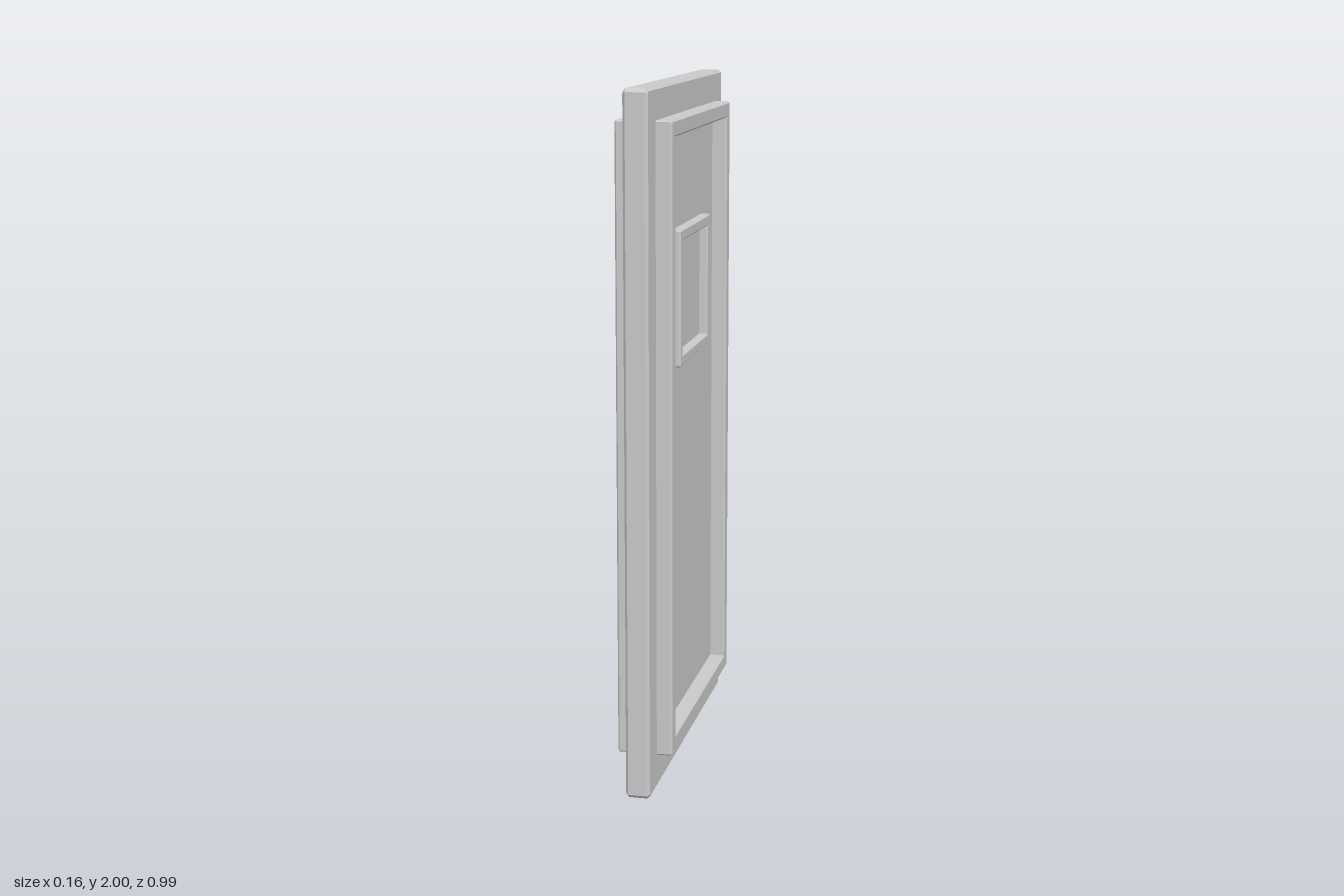
import * as THREE from 'three';

const material = new THREE.MeshStandardMaterial({ color: 0xcccccc, flatShading: true });

// Rectangle with clipped corners, centred on x = 0
function outline(target, halfWidth, bottom, top, c) {
  const w = halfWidth;
  target.setFromPoints([
    [-w + c, bottom], [w - c, bottom], [w, bottom + c], [w, top - c],
    [w - c, top], [-w + c, top], [-w, top - c], [-w, bottom + c], [-w + c, bottom],
  ].map(([x, y]) => new THREE.Vector2(x, y)));
  return target;
}

// Chamfered extrusion that keeps the stated outer size, running from z0 to z1
function chamfered(shape, z0, z1, bevel) {
  return new THREE.ExtrudeGeometry(shape, {
    depth: z1 - z0 - 2 * bevel,
    bevelThickness: bevel, bevelSize: bevel, bevelOffset: -bevel, bevelSegments: 1,
  }).translate(0, 0, z0 + bevel);
}

// Raised rectangular moulding with an open middle
function moulding(outer, inner, z1) {
  const shape = outline(new THREE.Shape(), ...outer, 0.004);
  const hole = new THREE.Path();
  const [w, b, t] = inner;
  hole.setFromPoints([[-w, b], [-w, t], [w, t], [w, b], [-w, b]].map(([x, y]) => new THREE.Vector2(x, y)));
  shape.holes.push(hole);
  return chamfered(shape, 0.015, z1, 0.005);
}

export function createModel() {
  const group = new THREE.Group();
  group.name = 'door';

  const add = (name, geometry, angle) => {
    const mesh = new THREE.Mesh(geometry, material);
    mesh.name = name;
    mesh.rotation.y = angle;
    group.add(mesh);
  };

  // Door slab
  add('slab', chamfered(outline(new THREE.Shape(), 0.493, 0, 2, 0.01), -0.035, 0.035, 0.008), Math.PI / 2);

  // Large border moulding and small window moulding on both faces
  const border = moulding([0.4, 0.1, 1.91], [0.353, 0.147, 1.863], 0.08);
  const windowTrim = moulding([0.202, 1.197, 1.59], [0.168, 1.23, 1.556], 0.06);
  for (const [side, sign] of [['left', 1], ['right', -1]]) {
    add(side + 'BorderFrame', border, sign * Math.PI / 2);
    add(side + 'WindowFrame', windowTrim, sign * Math.PI / 2);
  }
  return group;
}
